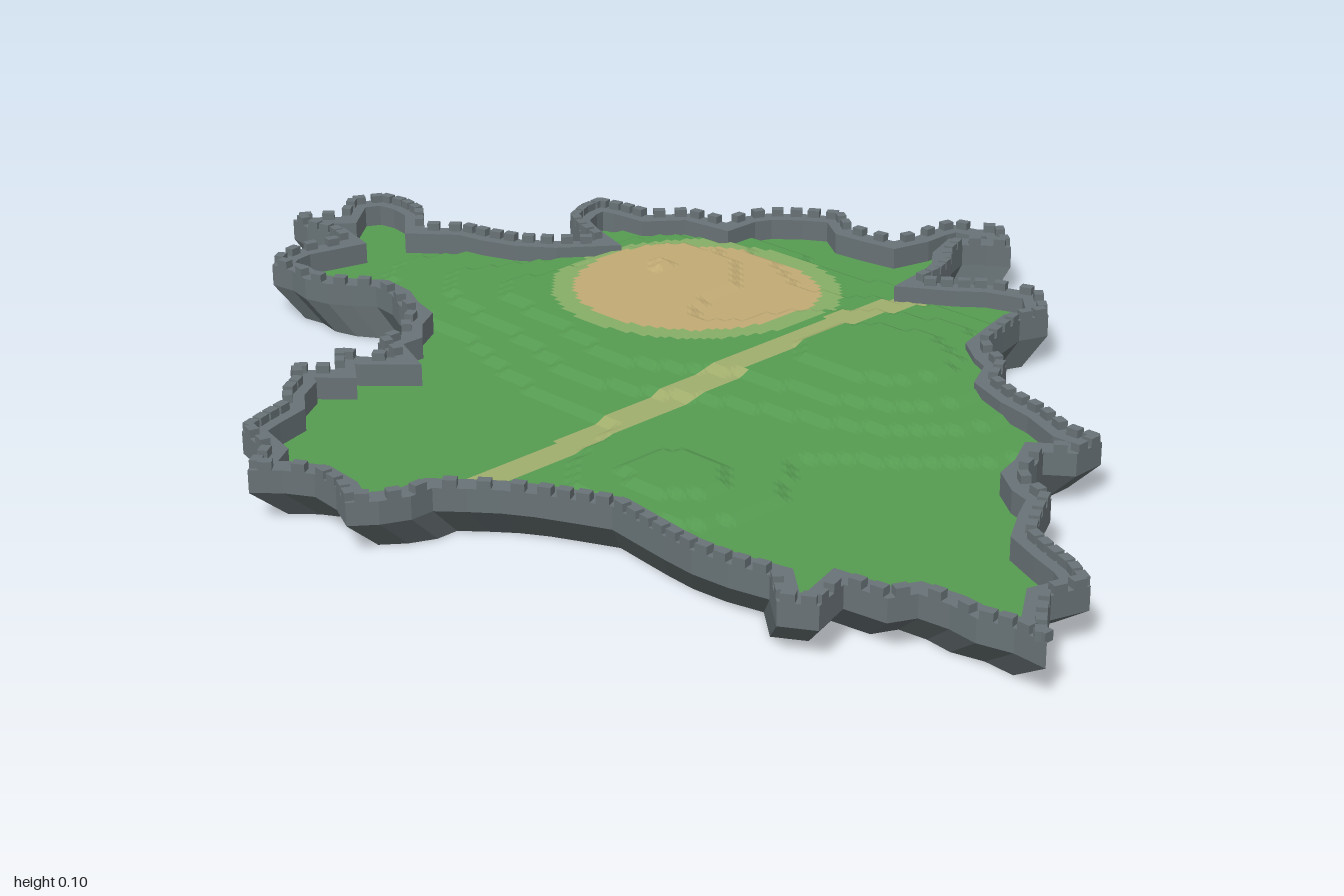
import * as THREE from 'three';
import { mergeGeometries } from 'three/addons/utils/BufferGeometryUtils.js';

// Coastline in hundredths of a unit, clockwise from above: x, z pairs
const COAST = [
  -12, -75, -4, -79, 3, -73, -4, -68, 1, -59, 3, -49, 12, -56, 21, -59, 28, -52, 26, -47, 29, -35,
  37, -30, 40, -24, 53, -20, 60, -17, 66, -17, 66, -11, 62, -8, 65, 0, 73, 4, 79, 15, 94, 22,
  92, 28, 100, 39, 89, 40, 79, 40, 77, 44, 70, 45, 72, 52, 67, 55, 61, 50, 48, 52, 30, 50, 19, 55,
  7, 64, 7, 68, 2, 76, -9, 73, -17, 79, -21, 73, -29, 71, -32, 61, -43, 51, -38, 46, -43, 42,
  -35, 36, -42, 34, -42, 29, -48, 22, -62, 18, -69, 23, -83, 24, -86, 16, -84, 8, -99, 7, -94, 0,
  -99, -6, -96, -12, -85, -12, -79, -7, -73, -12, -62, -15, -52, -24, -63, -28, -66, -38, -55, -40,
  -50, -46, -42, -47, -40, -56, -29, -64, -23, -60, -14, -61,
];
const WALL = 0.034, BASE = 0.05, TOP = 0.087;

let seed = 11;
const rand = () => (seed = (seed * 16807) % 2147483647) / 2147483647;

// Outline with slightly roughened long edges
function makeOutline() {
  const pts = [];
  for (let i = 0; i < COAST.length; i += 2) {
    const a = new THREE.Vector2(COAST[i], COAST[i + 1]).multiplyScalar(0.01);
    const j = (i + 2) % COAST.length;
    const b = new THREE.Vector2(COAST[j], COAST[j + 1]).multiplyScalar(0.01);
    const n = Math.max(1, Math.round(a.distanceTo(b) / 0.055));
    const out = new THREE.Vector2(b.y - a.y, a.x - b.x).normalize();
    for (let k = 0; k < n; k++) {
      const p = a.clone().lerp(b, k / n);
      if (k) p.addScaledVector(out, (rand() - 0.5) * 0.02);
      pts.push(p);
    }
  }
  return pts;
}

// Inner wall line, with limited miters
function insetOutline(pts, d) {
  const n = pts.length;
  const normal = (a, b) => new THREE.Vector2(b.y - a.y, a.x - b.x).normalize();
  return pts.map((p, i) => {
    const n1 = normal(pts[(i + n - 1) % n], p), n2 = normal(p, pts[(i + 1) % n]);
    const m = n1.clone().add(n2).normalize();
    return p.clone().addScaledVector(m, -d / Math.max(0.65, m.dot(n1)));
  });
}

function inside(pts, x, z) {
  let hit = false;
  for (let i = 0, j = pts.length - 1; i < pts.length; j = i++) {
    const a = pts[i], b = pts[j];
    if ((a.y > z) !== (b.y > z) && x < ((b.x - a.x) * (z - a.y)) / (b.y - a.y) + a.x) hit = !hit;
  }
  return hit;
}

function quad(out, a, b, c, d) {
  out.push(...a, ...b, ...c, ...a, ...c, ...d);
}

function flatGeometry(positions) {
  const g = new THREE.BufferGeometry();
  g.setAttribute('position', new THREE.Float32BufferAttribute(positions, 3));
  g.computeVertexNormals();
  return g;
}

// Terraced hills: centre x, z, height, radius x, radius z
const HILLS = [
  [0.18, -0.22, 0.046, 0.33, 0.28],
  [-0.45, 0.0, 0.026, 0.3, 0.16],
  [-0.38, -0.28, 0.036, 0.2, 0.2],
  [-0.12, 0.08, 0.018, 0.2, 0.18],
  [0.25, 0.33, 0.024, 0.17, 0.14],
];
function terrace(x, z) {
  let h = 0;
  for (const [cx, cz, a, rx, rz] of HILLS) h += a * Math.exp(-(((x - cx) / rx) ** 2) - ((z - cz) / rz) ** 2);
  return BASE + Math.min(5, Math.floor(h / 0.01)) * 0.009;
}
// Heights stepped on a coarse grid, with one-cell ramps between the steps
function height(x, z) {
  const s = 0.02, i = Math.floor(x / s + 1e-6), j = Math.floor(z / s + 1e-6);
  const u = x / s - i, v = z / s - j;
  const at = (p, q) => terrace(p * s, q * s);
  return (at(i, j) * (1 - u) + at(i + 1, j) * u) * (1 - v) + (at(i, j + 1) * (1 - u) + at(i + 1, j + 1) * u) * v;
}

function groundKind(x, z) {
  const r = Math.hypot(x + 0.257, z + 0.232);
  if (r < 0.212) return 'sandCircle';
  if (r < 0.25) return 'sandRim';
  const left = 0.002 + 0.016 * (z + 0.46);
  if (z > -0.47 && z < 0.66 && x > left && x < left + 0.056) return 'path';
  return 'grass';
}

export function createModel() {
  const mat = (name, color) => new THREE.MeshStandardMaterial({ name, color, side: THREE.DoubleSide, flatShading: true });
  const mats = {
    grass: mat('grass green', 0x559a51),
    sandCircle: mat('sand', 0xc0aa74),
    sandRim: mat('dry grass', 0x86ac66),
    path: mat('path tan', 0xa0ad6c),
    stone: mat('stone grey', 0x687276),
    rock: mat('rock grey', 0x5b6466),
  };
  const group = new THREE.Group();
  group.name = 'island';
  const add = (name, geometry, material) => {
    const m = new THREE.Mesh(geometry, material);
    m.name = name;
    group.add(m);
  };
  const outer = makeOutline(), inner = insetOutline(outer, WALL), n = outer.length;

  // Terraced ground, split by colour
  const S = 0.01, cells = { grass: [], sandCircle: [], sandRim: [], path: [] };
  const W = 201, ok = [];
  for (let j = 0; j <= 160; j++) for (let i = 0; i <= 200; i++) ok[j * W + i] = inside(outer, (i - 100) * S, (j - 80) * S + 1e-5);
  for (let j = 0; j < 160; j++) {
    for (let i = 0; i < 200; i++) {
      const k = j * W + i;
      if (!(ok[k] && ok[k + 1] && ok[k + W] && ok[k + W + 1])) continue;
      const x = (i - 100) * S, z = (j - 80) * S;
      const p = (dx, dz) => [x + dx, height(x + dx, z + dz), z + dz];
      quad(cells[groundKind(x + S / 2, z + S / 2)], p(0, 0), p(0, S), p(S, S), p(S, 0));
    }
  }
  for (const kind in cells) add(kind, flatGeometry(cells[kind]), mats[kind]);

  // Perimeter wall and the rock skirt tapering in below it
  const wall = [], skirt = [], merlons = [];
  for (let i = 0; i < n; i++) {
    const k = (i + 1) % n, a = outer[i], b = outer[k], c = inner[i], d = inner[k];
    const at = (p, y, s = 1) => [p.x * s, y, p.y * s];
    quad(wall, at(a, BASE), at(a, TOP), at(b, TOP), at(b, BASE));
    quad(wall, at(d, BASE), at(d, TOP), at(c, TOP), at(c, BASE));
    quad(wall, at(a, TOP), at(c, TOP), at(d, TOP), at(b, TOP));
    quad(wall, at(a, BASE), at(b, BASE), at(d, BASE), at(c, BASE));
    quad(skirt, at(a, 0, 0.925), at(a, BASE), at(b, BASE), at(b, 0, 0.925));

    // Merlons along the outer rim
    const len = a.distanceTo(b), count = Math.max(1, Math.round(len / 0.034));
    const dir = b.clone().sub(a).normalize();
    for (let m = 0; m < count; m++) {
      const q = a.clone().lerp(b, (m + 0.5) / count);
      const box = new THREE.BoxGeometry(0.021, 0.015, 0.016);
      box.rotateY(-Math.atan2(dir.y, dir.x));
      box.translate(q.x - dir.y * 0.008, TOP + 0.0055, q.y + dir.x * 0.008);
      merlons.push(box);
    }
  }
  add('wall', flatGeometry(wall), mats.stone);
  add('rockSkirt', flatGeometry(skirt), mats.rock);
  add('merlons', mergeGeometries(merlons), mats.stone);
  return group;
}
